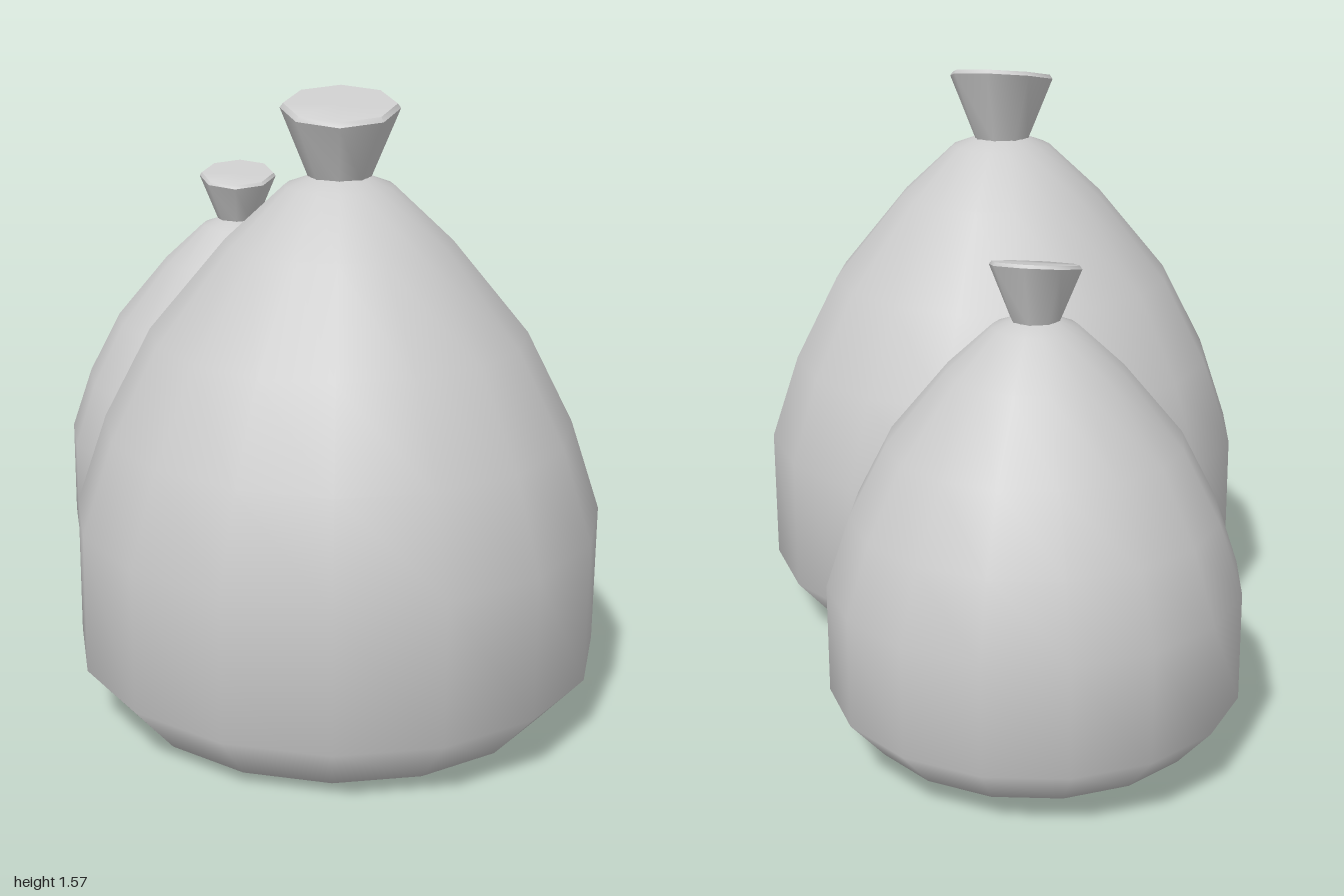
import * as THREE from 'three';
import { toCreasedNormals } from 'three/addons/utils/BufferGeometryUtils.js';

const points = (list) => list.map(([r, y]) => new THREE.Vector2(r, y));

// Bulging sixteen-sided sack, from the base centre up to the pinched neck
function bodyGeometry() {
  return new THREE.LatheGeometry(points([
    [0, 0], [0.285, 0], [0.55, 0.03], [0.665, 0.162], [0.665, 0.52],
    [0.588, 0.75], [0.47, 0.98], [0.28, 1.21], [0.135, 1.345], [0.075, 1.367],
  ]), 16);
}

// Flared eight-sided collar, closed on top and cut at a slant
function collarGeometry() {
  const neckY = 1.36, rimY = 1.532;
  const geo = new THREE.LatheGeometry(points([
    [0.075, neckY], [0.146, rimY], [0.138, 1.543], [0, 1.543],
  ]), 8);
  const pos = geo.attributes.position;
  for (let i = 0; i < pos.count; i++) {
    const x = pos.getX(i), y = pos.getY(i), z = pos.getZ(i);
    const t = Math.min(1, (y - neckY) / (rimY - neckY));
    pos.setY(i, y - 0.14 * t * (x + z));
  }
  return toCreasedNormals(geo, 0.9);
}

export function createModel() {
  const group = new THREE.Group();
  group.name = 'sacks';
  const material = new THREE.MeshStandardMaterial({ color: 0xcccccc });
  const body = bodyGeometry();
  const collar = collarGeometry();

  // One tied sack: body plus collar
  const addSack = (name, x, y, z, scale) => {
    const sack = new THREE.Group();
    sack.name = name;
    for (const [part, geo] of [['Body', body], ['Collar', collar]]) {
      const mesh = new THREE.Mesh(geo, material);
      mesh.name = name + part;
      sack.add(mesh);
    }
    sack.position.set(x, y, z);
    sack.scale.setScalar(scale);
    group.add(sack);
  };

  addSack('largeSack', 0.334, 0, 0.115, 1);
  addSack('smallSack', -0.492, 0.048, -0.278, 0.764);
  return group;
}
